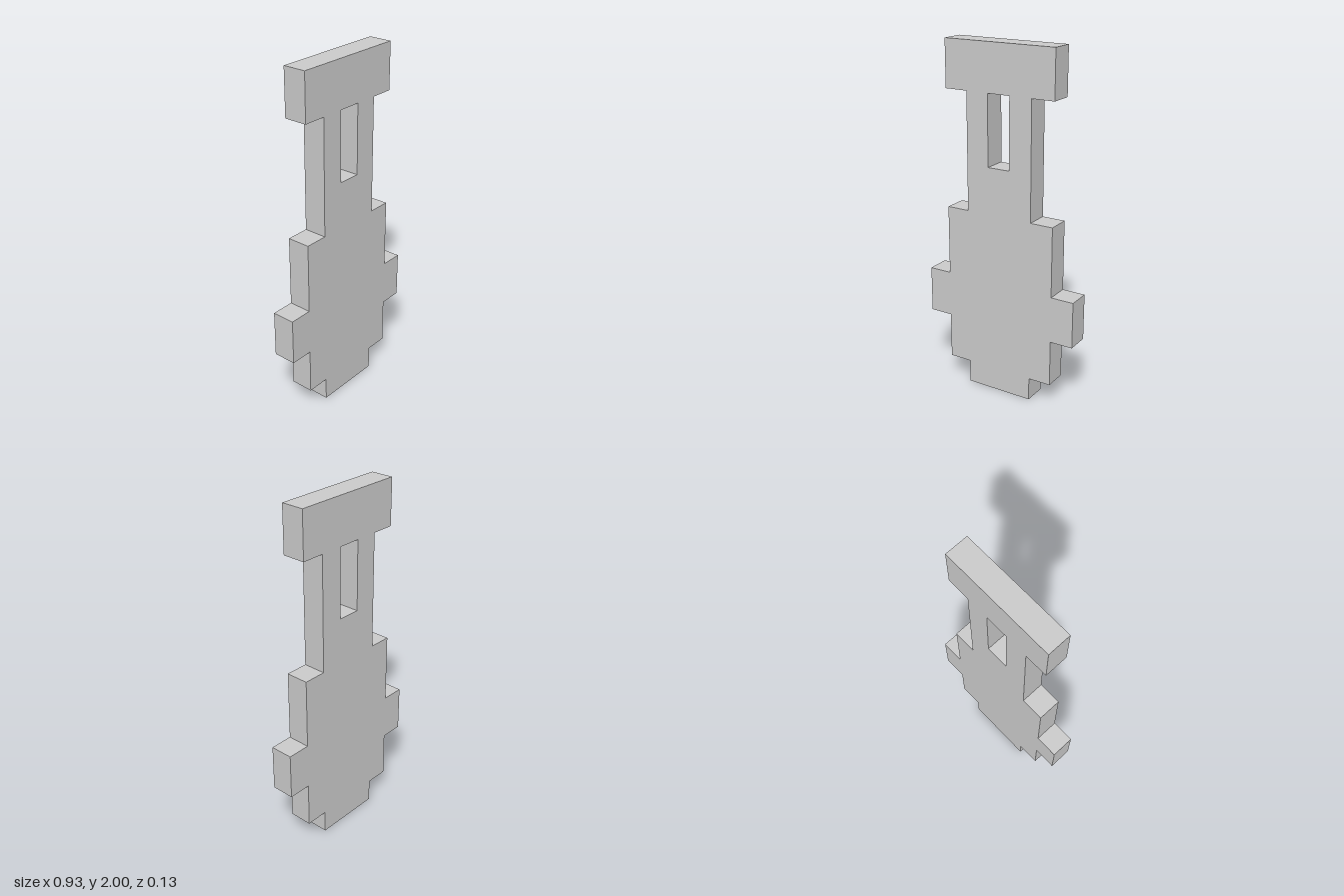
import * as THREE from 'three';

const U = 2 / 15; // one grid cell; the whole plate is 15 cells tall and 1 deep

// Stepped silhouette from the ground up: [half width, top height] in cells
const STEPS = [
  [1.5, 1],  // foot
  [2.5, 3],  // lower body
  [3.5, 5],  // side lugs
  [2.5, 8],  // upper body
  [1.5, 13], // neck
  [2.5, 15], // head bar
];

export function createModel() {
  const group = new THREE.Group();

  // Right-hand outline going up, then mirrored going down
  const right = [];
  let base = 0;
  for (const [halfWidth, top] of STEPS) {
    right.push(new THREE.Vector2(halfWidth * U, base * U), new THREE.Vector2(halfWidth * U, top * U));
    base = top;
  }
  const left = right.map((p) => new THREE.Vector2(-p.x, p.y)).reverse();
  const outline = new THREE.Shape([...right, ...left]);

  // Slot through the neck, just under the head bar
  const slot = [[-0.5, 10], [-0.5, 13], [0.5, 13], [0.5, 10]];
  outline.holes.push(new THREE.Path(slot.map(([x, y]) => new THREE.Vector2(x * U, y * U))));

  const geometry = new THREE.ExtrudeGeometry(outline, { depth: U, bevelEnabled: false });
  geometry.translate(0, 0, -U / 2);

  const plate = new THREE.Mesh(
    geometry,
    new THREE.MeshStandardMaterial({ color: 0xcccccc, flatShading: true })
  );
  plate.name = 'slottedPlate';
  group.add(plate);
  return group;
}
